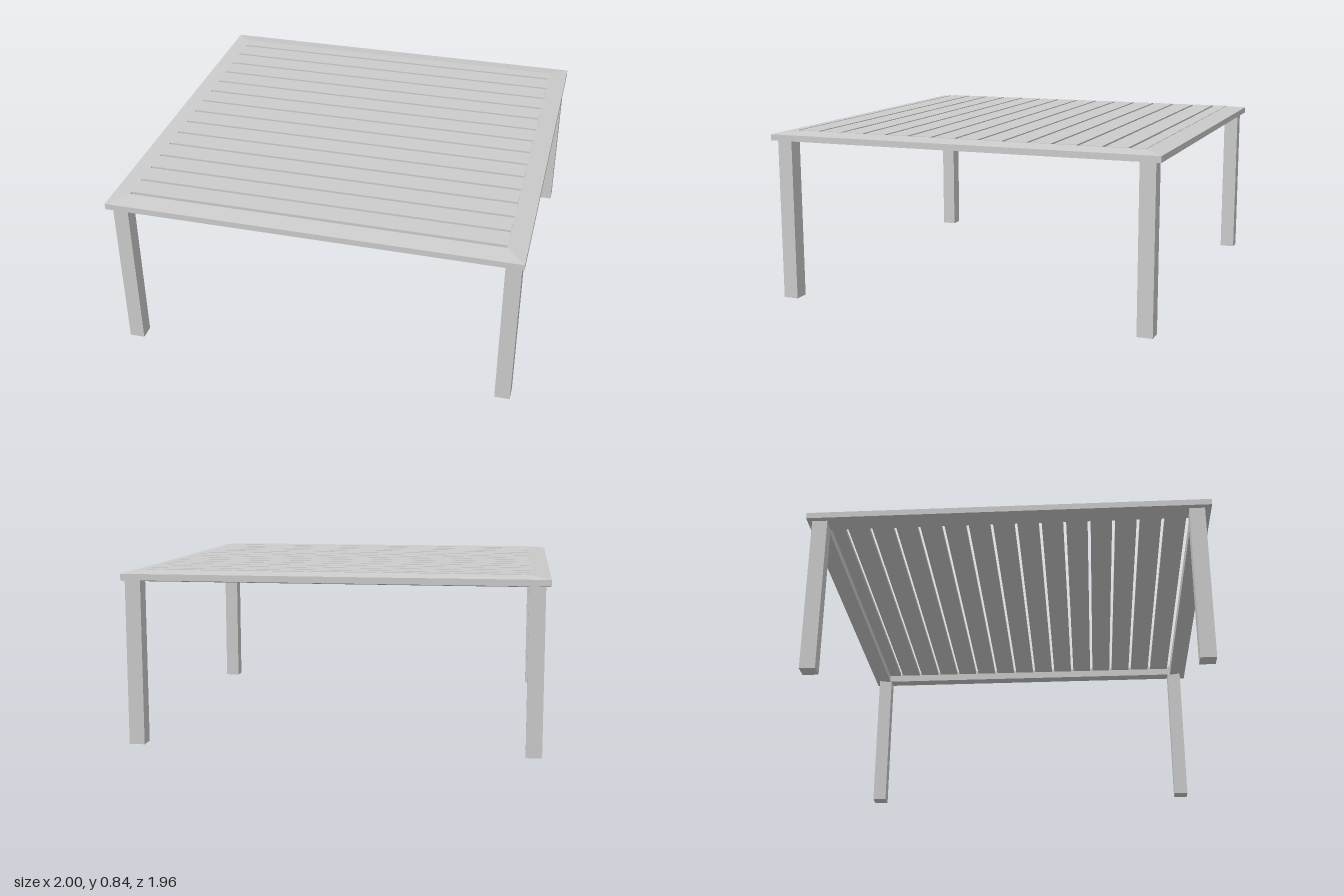
import * as THREE from 'three';

const material = new THREE.MeshStandardMaterial({ color: 0xcccccc, flatShading: true });
const HALF_X = 1, HALF_Z = 0.98, RIM = 0.093;

function box(name, x0, x1, y0, y1, z0, z1) {
  const mesh = new THREE.Mesh(new THREE.BoxGeometry(x1 - x0, y1 - y0, z1 - z0), material);
  mesh.position.set((x0 + x1) / 2, (y0 + y1) / 2, (z0 + z1) / 2);
  mesh.name = name;
  return mesh;
}

// Mitred ring: a cross-section of [inset, y] points swept round the four corners
function frameGeometry(profile) {
  const corners = [[1, 1], [1, -1], [-1, -1], [-1, 1]];
  const point = (c, p) => {
    const [sx, sz] = corners[c % 4], [inset, y] = profile[p % profile.length];
    return [sx * (HALF_X - inset), y, sz * (HALF_Z - inset)];
  };
  const positions = [];
  for (let c = 0; c < 4; c++) {
    for (let p = 0; p < profile.length; p++) {
      const a = point(c, p), b = point(c + 1, p), d = point(c + 1, p + 1), e = point(c, p + 1);
      positions.push(...a, ...b, ...d, ...a, ...d, ...e);
    }
  }
  const geometry = new THREE.BufferGeometry();
  geometry.setAttribute('position', new THREE.Float32BufferAttribute(positions, 3));
  geometry.computeVertexNormals();
  return geometry;
}

export function createModel() {
  const table = new THREE.Group();
  table.name = 'slattedTable';

  // Frame, sloping on top and underneath towards a thicker inner edge
  const frame = new THREE.Mesh(
    frameGeometry([[0, 0.795], [0, 0.825], [RIM, 0.838], [RIM, 0.782]]), material);
  frame.name = 'topFrame';
  table.add(frame);

  // Slats, with a narrow gap after each one
  const slats = new THREE.Group();
  slats.name = 'slats';
  const pitch = 0.1207, gap = 0.015, firstGap = -0.813;
  for (let i = 0; i < 15; i++) {
    const end = firstGap + i * pitch - gap / 2;
    const start = i === 0 ? -HALF_Z + RIM : end - pitch + gap;
    slats.add(box('slat', -HALF_X + RIM, HALF_X - RIM, 0.822, 0.84, start, end));
  }
  table.add(slats);

  // Square legs
  for (const [x0, x1] of [[-0.977, -0.902], [0.913, 0.988]]) {
    for (const [z0, z1] of [[-0.955, -0.88], [0.873, 0.948]]) {
      table.add(box('leg', x0, x1, 0, 0.8, z0, z1));
    }
  }
  return table;
}
